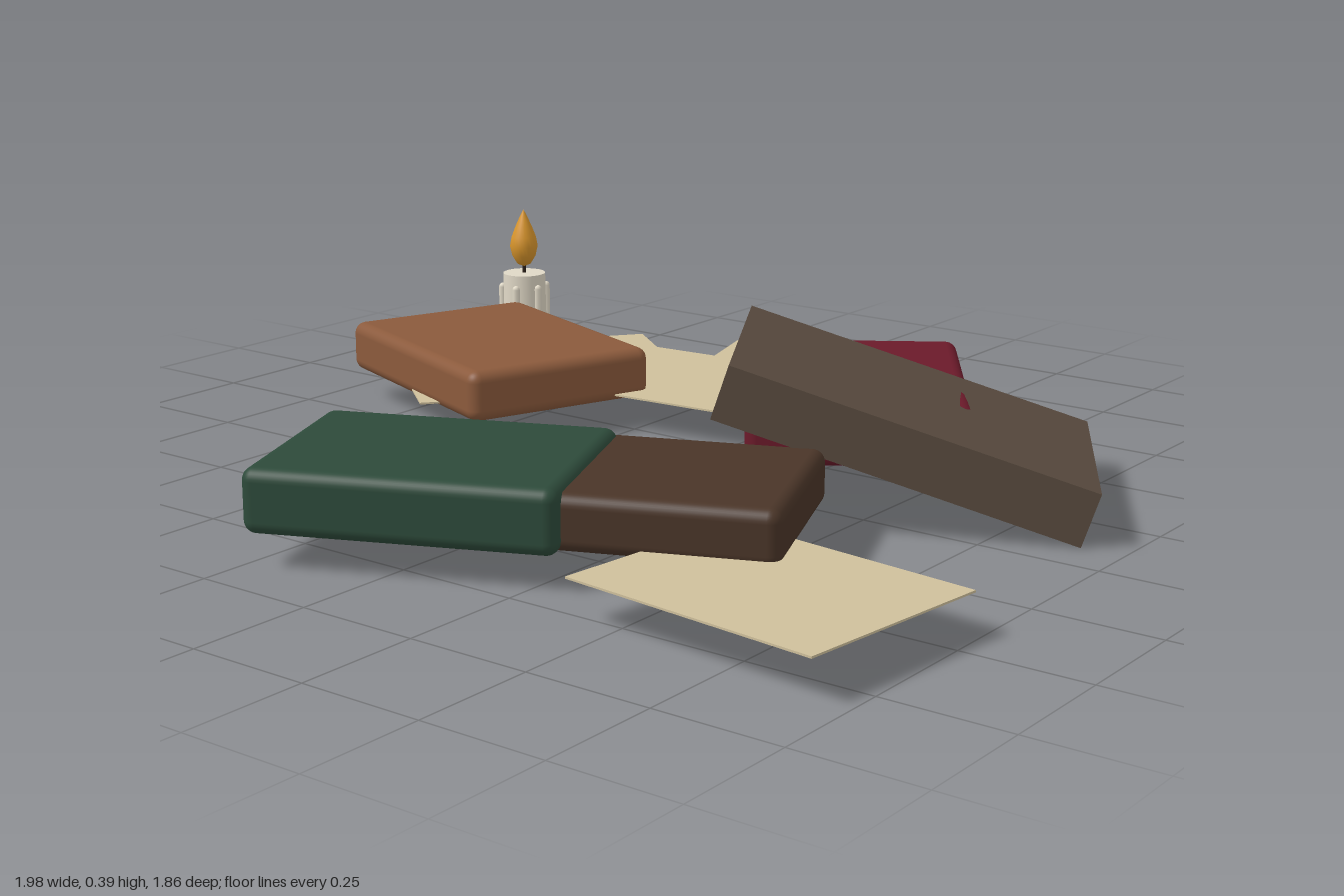
import * as THREE from 'three';
import { RoundedBoxGeometry } from 'three/addons/geometries/RoundedBoxGeometry.js';

const mat = (color) => new THREE.MeshStandardMaterial({ color });
const rad = THREE.MathUtils.degToRad;

export function createModel() {
  const root = new THREE.Group();
  const add = (parent, name, geometry, material, x = 0, y = 0, z = 0) => {
    const mesh = new THREE.Mesh(geometry, material);
    mesh.name = name;
    mesh.position.set(x, y, z);
    parent.add(mesh);
    return mesh;
  };

  // Closed books lying flat: name, color, width, height, depth, x, base y, z, yaw
  const books = [
    ['tanBook', 0x8b5a3c, 0.585, 0.11, 0.44, -0.595, 0.065, -0.195, -20.5],
    ['greenBook', 0x2d4a3a, 0.59, 0.125, 0.44, -0.05, 0.065, 0.607, 23.5],
    ['brownBook', 0x4a3528, 0.59, 0.108, 0.42, 0.305, 0.067, 0.433, 22.5],
    ['crimsonBook', 0x6b1a2a, 0.45, 0.125, 0.59, 0.258, 0.065, -0.345, 34],
  ];
  for (const [name, color, w, h, d, x, y, z, yaw] of books) {
    add(root, name, new RoundedBoxGeometry(w, h, d, 4, 0.025), mat(color), x, y + h / 2, z)
      .rotation.y = rad(yaw);
  }

  // Sharp-edged book leaning over the crimson one
  const leaning = add(root, 'leaningBook', new THREE.BoxGeometry(0.726, 0.11, 0.513),
    mat(0x584a3e), 0.5, 0.165, -0.154);
  leaning.rotation.set(0, rad(30.3), rad(-18), 'YXZ');

  // Loose sheets: width, depth, x, y, z, yaw
  const paper = mat(0xcfc09c);
  const sheets = [
    [0.54, 0.42, 0.7, 0.082, 0.61, -6.4],
    [0.42, 0.54, -0.1, 0.073, -0.62, 16.5],
    [0.54, 0.42, -0.295, 0.08, -0.425, 4.5],
    [0.42, 0.54, -0.592, 0.076, -0.379, -38],
    [0.54, 0.42, -0.648, 0.078, -0.245, -39],
  ];
  sheets.forEach(([w, d, x, y, z, yaw], i) => {
    add(root, `sheet${i + 1}`, new THREE.BoxGeometry(w, 0.004, d), paper, x, y, z)
      .rotation.y = rad(yaw);
  });

  // Candle in its dish
  const candle = new THREE.Group();
  candle.name = 'candle';
  candle.position.set(-0.8, 0, -0.53);
  root.add(candle);
  const lathe = (pts) => new THREE.LatheGeometry(pts.map(([x, y]) => new THREE.Vector2(x, y)), 24);
  add(candle, 'dish', lathe([
    [0, 0.065], [0.052, 0.065], [0.066, 0.073], [0.077, 0.088], [0.077, 0.096],
    [0.07, 0.098], [0.06, 0.085], [0, 0.083],
  ]), mat(0xa87248));
  const wax = mat(0xe0d8c6);
  add(candle, 'waxBody', new THREE.CylinderGeometry(0.05, 0.053, 0.155, 24), wax, 0, 0.1575, 0);

  // Wax drips around the side
  for (let i = 0; i < 6; i++) {
    const a = i * Math.PI / 3 + 0.2;
    const length = 0.06 + 0.025 * (i % 3);
    add(candle, 'waxDrip', new THREE.CapsuleGeometry(0.009, length, 4, 8), wax,
      0.052 * Math.cos(a), 0.203 - length / 2, 0.052 * Math.sin(a));
  }
  add(candle, 'wick', new THREE.CylinderGeometry(0.004, 0.004, 0.03, 8), mat(0x2a2018), 0, 0.245, 0);
  add(candle, 'flame', lathe([
    [0, 0.25], [0.016, 0.257], [0.028, 0.277], [0.033, 0.3],
    [0.029, 0.322], [0.019, 0.348], [0.008, 0.372], [0, 0.388],
  ]), mat(0xd8952c));

  return root;
}
